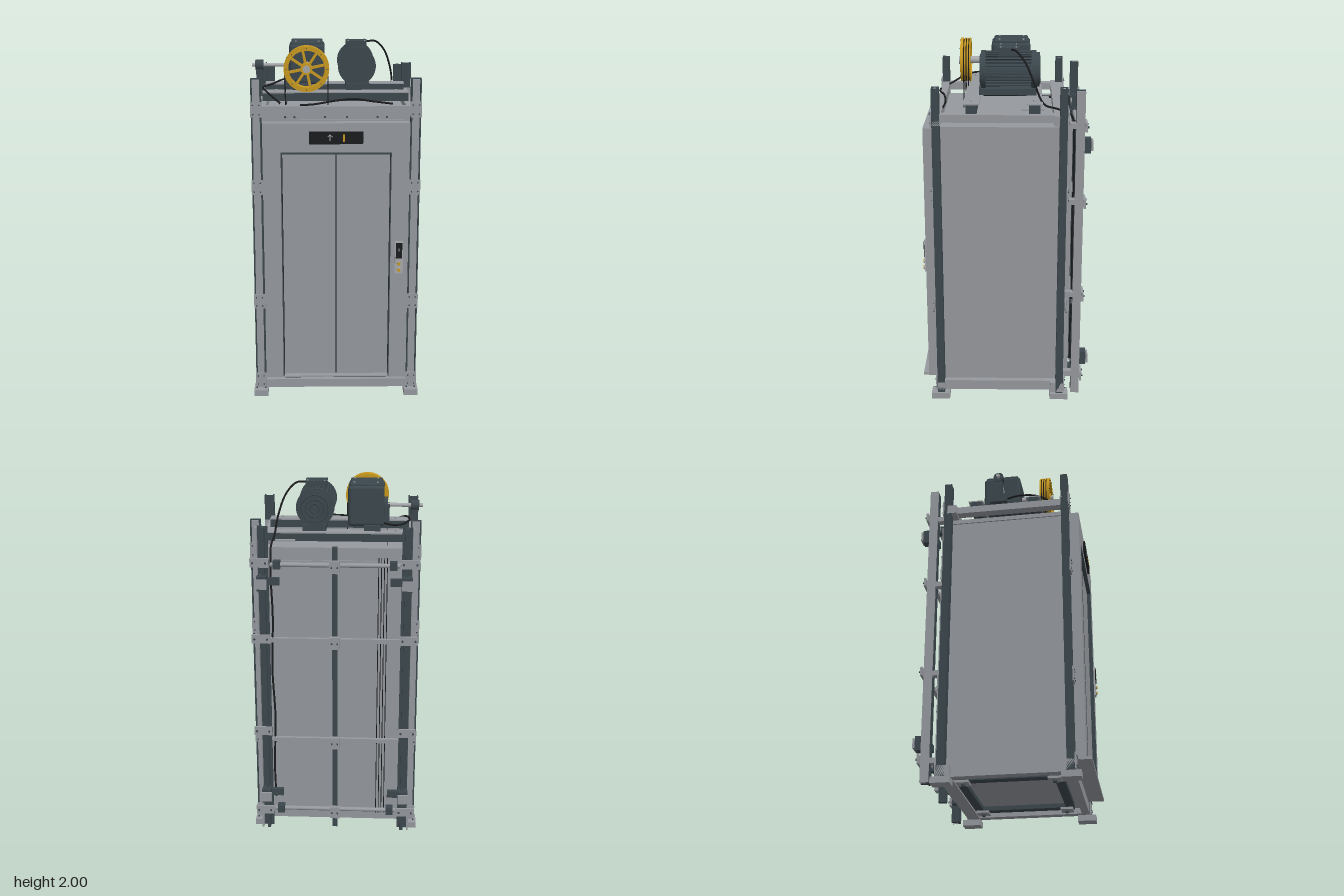
import * as THREE from 'three';
import { RoundedBoxGeometry } from 'three/addons/geometries/RoundedBoxGeometry.js';
import { toCreasedNormals } from 'three/addons/utils/BufferGeometryUtils.js';

const mat = (name, color) => {
  const m = new THREE.MeshStandardMaterial({ color });
  m.name = name;
  return m;
};

export function createModel() {
  const steel = mat('steel grey', 0x95989d);
  const slate = mat('dark slate', 0x3b474d);
  const black = mat('black rubber', 0x1b1c1e);
  const gold = mat('golden yellow', 0xc9991f);
  const light = mat('light metal', 0xa6a8ab);

  const root = new THREE.Group();
  root.name = 'elevator';
  const add = (name, geo, m, x = 0, y = 0, z = 0, parent = root) => {
    const mesh = new THREE.Mesh(geo, m);
    mesh.name = name;
    mesh.position.set(x, y, z);
    parent.add(mesh);
    return mesh;
  };
  // box given by its limits on each axis
  const box = (name, m, x0, x1, y0, y1, z0, z1, parent = root) =>
    add(name, new THREE.BoxGeometry(x1 - x0, y1 - y0, z1 - z0), m,
      (x0 + x1) / 2, (y0 + y1) / 2, (z0 + z1) / 2, parent);
  // box repeated on both sides
  const pair = (name, m, x0, x1, ...rest) => {
    box(name, m, x0, x1, ...rest);
    box(name, m, -x1, -x0, ...rest);
  };
  const rod = (name, m, axis, r, len, x, y, z, seg = 24, parent = root) => {
    const g = new THREE.CylinderGeometry(r, r, len, seg);
    if (axis === 'x') g.rotateZ(Math.PI / 2);
    if (axis === 'z') g.rotateX(Math.PI / 2);
    return add(name, g, m, x, y, z, parent);
  };
  const cable = (name, points, r = 0.0055) => {
    const curve = new THREE.CatmullRomCurve3(points.map(p => new THREE.Vector3(...p)));
    add(name, new THREE.TubeGeometry(curve, 48, r, 8), black);
  };
  const path = (pts, Type) => new Type(pts.map(p => new THREE.Vector2(...p)));

  // Cabin shell
  box('cabinBody', steel, -0.4, 0.4, 0.075, 1.61, -0.335, 0.385);
  box('backPanel', steel, -0.355, 0.355, 0.1, 1.6, -0.365, -0.335);
  pair('sidePanelTrim', steel, 0.4, 0.408, 1.585, 1.61, -0.29, 0.35);

  // Facade with a door opening
  const facade = path([[-0.398, 0.113], [0.398, 0.113], [0.398, 1.6], [-0.398, 1.6]], THREE.Shape);
  facade.holes.push(path([[-0.3, 0.135], [-0.3, 1.44], [0.3, 1.44], [0.3, 0.135]], THREE.Path));
  add('facade', new THREE.ExtrudeGeometry(facade, { depth: 0.06, bevelEnabled: false }), steel, 0, 0, 0.385);
  box('doorRecess', black, -0.3, 0.3, 0.135, 1.44, 0.386, 0.405);
  pair('doorLeaf', steel, 0.003, 0.292, 0.142, 1.425, 0.4, 0.425);
  pair('doorJamb', slate, 0.295, 0.3, 0.135, 1.44, 0.4, 0.447);
  box('doorLintel', slate, -0.3, 0.3, 1.43, 1.44, 0.4, 0.447);
  box('sill', steel, -0.395, 0.395, 0.112, 0.128, 0.385, 0.475);
  for (let i = 0; i < 2; i++) box('sillGroove', slate, -0.29, 0.29, 0.128, 0.129, 0.434 + i * 0.014, 0.436 + i * 0.014);

  // Floor indicator
  box('indicator', black, -0.145, 0.145, 1.488, 1.555, 0.445, 0.457);
  box('indicatorBar', gold, 0.036, 0.046, 1.502, 1.54, 0.457, 0.459);
  box('arrowStem', light, -0.035, -0.031, 1.505, 1.54, 0.457, 0.459);
  [1, -1].forEach(s => {
    box('arrowHead', light, -0.033 - s * 0.006 - 0.009, -0.033 - s * 0.006 + 0.009, 1.532, 1.536, 0.457, 0.459).rotation.z = s * 0.7;
  });

  // Call station
  box('callPlate', light, 0.325, 0.37, 0.755, 0.94, 0.445, 0.455);
  box('callScreen', black, 0.33, 0.365, 0.842, 0.932, 0.455, 0.459);
  box('callLamp', light, 0.343, 0.35, 0.885, 0.9, 0.459, 0.461);
  [0.775, 0.812].forEach(y => {
    rod('buttonRing', light, 'z', 0.014, 0.006, 0.347, y, 0.457);
    rod('callButton', gold, 'z', 0.009, 0.01, 0.347, y, 0.459);
  });

  // Corner posts, feet and brackets
  for (const s of [1, -1]) for (const [zc, out] of [[0.37, 1], [-0.313, -1]]) {
    const post = new THREE.Group();
    post.name = 'cornerPost';
    post.position.set(s * 0.432, 0, zc);
    root.add(post);
    box('postWall', slate, -0.028, -0.02, 0.035, 1.83, -0.021, 0.021, post);
    box('postWall', slate, 0.02, 0.028, 0.035, 1.83, -0.021, 0.021, post);
    box('postWeb', slate, -0.02, 0.02, 0.035, 1.83, -out * 0.015 - 0.005, -out * 0.015 + 0.005, post);
    box('postInlay', steel, -0.02, 0.02, 0.035, 1.825, out * 0.002 - 0.007, out * 0.002 + 0.007, post);
    box('foot', steel, -0.04, 0.04, 0, 0.035, -0.05, 0.055, post);
    for (const y of [0.09, 0.57, 1.235, 1.665]) {
      const z = out * 0.025;
      box('postBracket', steel, -0.031, 0.031, y - 0.042, y + 0.042, z - 0.004, z + 0.004, post);
      for (const bx of [-0.017, 0.017]) for (const by of [-0.025, 0.025])
        rod('bracketBolt', slate, 'z', 0.004, 0.006, bx, y + by, out * 0.031, 6, post);
    }
  }

  // Top and bottom frames
  for (const [name, y0, y1, drop] of [['topBeam', 1.64, 1.682, 0.01], ['bottomBeam', 0.04, 0.098, 0]]) {
    pair(name, steel, 0.38, 0.432, y0, y1, -0.292, 0.35);
    box(name, steel, -0.46, 0.46, y0 - drop, y1, 0.345, 0.389);
    box(name, steel, -0.46, 0.46, y0 - drop, y1, -0.333, -0.262);
  }
  for (const z of [0.365, -0.315]) box('frameSpacer', steel, -0.4, 0.4, 1.6, 1.632, z - 0.012, z + 0.012);
  for (const x of [0.06, 0.225, 0.275]) for (const s of [1, -1])
    rod('headerBolt', slate, 'z', 0.006, 0.01, s * x, 1.622, 0.379, 8);

  // Underside rails and mounts
  pair('floorRail', slate, 0.27, 0.325, 0.05, 0.075, -0.26, 0.31);
  for (const z of [-0.24, 0.29]) box('floorCrossRail', slate, -0.27, 0.27, 0.05, 0.075, z - 0.025, z + 0.025);
  for (const s of [1, -1]) for (const z of [-0.22, 0.27]) {
    box('floorMount', steel, s * 0.3 - 0.04, s * 0.3 + 0.04, 0.037, 0.05, z - 0.035, z + 0.035);
    rod('mountBolt', slate, 'y', 0.012, 0.014, s * 0.3, 0.033, z, 6);
  }

  // Machine beams across the roof
  for (const z of [0.182, -0.158]) {
    box('machineBeamTop', steel, -0.405, 0.405, 1.728, 1.735, z - 0.043, z + 0.043);
    box('machineBeam', slate, -0.405, 0.405, 1.682, 1.728, z - 0.03, z + 0.03);
    for (const x of [-0.33, 0.333]) rod('beamBolt', light, 'y', 0.009, 0.012, x, 1.738, z, 6);
  }
  box('gearboxBase', slate, -0.24, -0.15, 1.735, 1.765, -0.158, 0.148);
  box('motorBase', slate, 0.06, 0.19, 1.735, 1.77, -0.17, 0.148);
  box('roofHatchPlate', steel, 0.23, 0.34, 1.684, 1.692, -0.21, -0.09);

  // Gearbox
  add('gearbox', new RoundedBoxGeometry(0.2, 0.225, 0.22, 3, 0.018), slate, -0.16, 1.868, -0.026);
  add('gearboxLid', new RoundedBoxGeometry(0.18, 0.02, 0.195, 2, 0.008), slate, -0.16, 1.983, -0.026);
  for (const x of [-0.222, -0.093]) for (const z of [-0.097, 0.04]) rod('lidBolt', light, 'y', 0.005, 0.008, x, 1.994, z, 8);

  // Side shaft and bearings
  rod('sideShaft', light, 'x', 0.011, 0.22, -0.365, 1.855, -0.015);
  rod('shaftFlange', slate, 'x', 0.045, 0.022, -0.268, 1.855, -0.015);
  box('flangePlate', slate, -0.29, -0.258, 1.74, 1.86, -0.065, 0.035);
  box('bearingBase', slate, -0.462, -0.402, 1.682, 1.71, -0.065, 0.035);
  box('bearingStand', slate, -0.45, -0.414, 1.71, 1.85, -0.035, 0.005);
  rod('bearing', slate, 'x', 0.029, 0.045, -0.432, 1.855, -0.015);

  // Sheave: grooved rim, spokes and hub
  const sheave = new THREE.Group();
  sheave.name = 'sheave';
  sheave.position.set(-0.16, 1.865, 0.235);
  root.add(sheave);
  const profile = [[0.1, -0.03], [0.125, -0.03]];
  for (let i = 0; i < 3; i++) {
    const z = -0.024 + i * 0.014;
    profile.push([0.125, z], [0.119, z + 0.003], [0.119, z + 0.006], [0.125, z + 0.009]);
  }
  profile.push([0.125, 0.028], [0.1, 0.028], [0.1, -0.03]);
  const rim = new THREE.LatheGeometry(profile.map(p => new THREE.Vector2(...p)), 48);
  rim.rotateX(Math.PI / 2);
  add('rim', toCreasedNormals(rim, 0.5), gold, 0, 0, 0, sheave);
  for (let i = 0; i < 3; i++) add('groovedRope', new THREE.TorusGeometry(0.12, 0.0025, 6, 48), black, 0, 0, -0.0195 + i * 0.014, sheave);
  for (let i = 0; i < 8; i++) {
    const spoke = new THREE.BoxGeometry(0.014, 0.085, 0.02);
    spoke.translate(0, 0.063, 0);
    add('spoke', spoke, gold, 0, 0, 0, sheave).rotation.z = i * Math.PI / 4 + 0.2;
    rod('rimBolt', slate, 'z', 0.003, 0.006, 0.112 * Math.cos(i * Math.PI / 4), 0.112 * Math.sin(i * Math.PI / 4), 0.03, 6, sheave);
  }
  rod('hub', gold, 'z', 0.032, 0.05, 0, 0, 0, 24, sheave);
  rod('driveShaft', light, 'z', 0.02, 0.2, -0.16, 1.865, 0.175);
  for (const x of [-0.278, -0.042]) for (let i = 0; i < 3; i++)
    rod('sheaveRope', black, 'y', 0.003, 0.25, x, 1.735, 0.2155 + i * 0.014, 6);

  // Ribbed motor
  rod('motorBody', slate, 'z', 0.093, 0.29, 0.12, 1.865, -0.015, 40);
  for (let i = 0; i < 32; i++) {
    const fin = new THREE.BoxGeometry(0.006, 0.016, 0.25);
    fin.translate(0, 0.096, 0);
    add('coolingFin', fin, slate, 0.12, 1.865, -0.015).rotation.z = i * Math.PI / 16;
  }
  for (const z of [0.123, -0.155]) rod('motorEndRing', slate, 'z', 0.106, 0.025, 0.12, 1.865, z, 40);
  rod('motorFrontCap', slate, 'z', 0.085, 0.01, 0.12, 1.865, 0.138, 40);
  rod('fanCover', slate, 'z', 0.094, 0.02, 0.12, 1.865, -0.177, 40);
  for (let i = 0; i < 3; i++) add('fanGuardRing', new THREE.TorusGeometry(0.025 + i * 0.025, 0.004, 6, 32), slate, 0.12, 1.865, -0.187);
  box('terminalBox', slate, 0.062, 0.178, 1.94, 1.988, -0.07, 0.04);
  box('terminalLid', slate, 0.06, 0.18, 1.988, 1.995, -0.072, 0.042);
  for (const x of [0.073, 0.167]) for (const z of [-0.058, 0.028]) rod('terminalBolt', light, 'y', 0.004, 0.006, x, 1.996, z, 8);

  // Rear guide rails with clamps and guide shoes
  for (const s of [1, -1]) {
    box('guideFlange', slate, s * 0.39 - 0.03, s * 0.39 + 0.03, 0.02, 1.81, -0.392, -0.38);
    box('guideBlade', slate, s * 0.385 - 0.009, s * 0.385 + 0.009, 0.02, 1.81, -0.428, -0.392);
    box('guideSide', steel, s * 0.42 - 0.005, s * 0.42 + 0.005, 0.02, 1.81, -0.428, -0.38);
    for (const y of [0.14, 0.64, 1.19, 1.62]) {
      box('guideBracket', steel, s * 0.405 - 0.05, s * 0.405 + 0.05, y - 0.025, y + 0.025, -0.44, -0.428);
      box('bracketArm', steel, s * 0.4 - 0.02, s * 0.4 + 0.02, y - 0.015, y + 0.015, -0.38, -0.333);
      for (const dx of [-0.035, 0.035]) rod('guideBolt', slate, 'z', 0.006, 0.01, s * 0.405 + dx, y, -0.443, 6);
    }
    for (const y of [0.24, 1.51]) {
      box('guideShoe', slate, s * 0.392 - 0.026, s * 0.392 + 0.026, y - 0.04, y + 0.04, -0.463, -0.405);
      box('shoePlate', steel, s * 0.392 - 0.03, s * 0.392 + 0.03, y - 0.027, y + 0.027, -0.475, -0.463);
      box('shoeArm', slate, s * 0.34 - 0.04, s * 0.34 + 0.04, y - 0.02, y + 0.02, -0.41, -0.385);
    }
  }

  // Centre rear post and cross struts
  box('centrePost', slate, -0.014, 0.014, 0.03, 1.7, -0.42, -0.375);
  for (const y of [0.13, 0.57, 1.17, 1.6]) {
    box('centrePlate', steel, -0.028, 0.028, y - 0.035, y + 0.035, -0.442, -0.42);
    for (const dx of [-0.016, 0.016]) rod('centreBolt', slate, 'z', 0.005, 0.01, dx, y, -0.445, 6);
    if (y < 0.2 || y > 1.5) {
      rod('endStrut', steel, 'x', 0.012, 0.7, 0, y, -0.39, 16);
      for (const x of [-0.315, 0.315]) box('strutClamp', slate, x - 0.02, x + 0.02, y - 0.022, y + 0.022, -0.412, -0.368);
    } else box('crossStrut', steel, -0.36, 0.36, y - 0.012, y + 0.012, -0.395, -0.375);
  }

  // Hoist ropes behind the cabin and over its roof
  for (let i = 0; i < 4; i++) {
    const x = -0.282 + i * 0.0155, front = i ? -0.25 : 0.14;
    rod('hoistRope', black, 'y', 0.0025, 1.526, x, 0.863, -0.37, 6);
    rod('roofRope', black, 'z', 0.0025, front + 0.37, x, 1.625, (front - 0.37) / 2, 6);
  }

  // Electrical cables
  cable('motorCable', [[0.17, 1.985, -0.03], [0.23, 1.985, -0.06], [0.285, 1.93, -0.11], [0.325, 1.82, -0.16], [0.342, 1.72, -0.21], [0.35, 1.695, -0.29], [0.35, 1.66, -0.36], [0.35, 1.5, -0.373]]);
  cable('gearboxCable', [[-0.255, 1.77, -0.1], [-0.3, 1.76, -0.1], [-0.36, 1.745, -0.02], [-0.405, 1.745, 0.1], [-0.385, 1.74, 0.22], [-0.3, 1.69, 0.345]]);
  cable('roofCable', [[-0.195, 1.688, 0.385], [-0.12, 1.693, 0.386], [0, 1.71, 0.37], [0.1, 1.715, 0.345], [0.2, 1.7, 0.332], [0.31, 1.688, 0.342]]);
  cable('travelCable', [[0.35, 1.5, -0.373], [0.343, 1.3, -0.376], [0.352, 1, -0.374], [0.34, 0.7, -0.378], [0.35, 0.4, -0.374], [0.345, 0.2, -0.376]]);

  return root;
}
